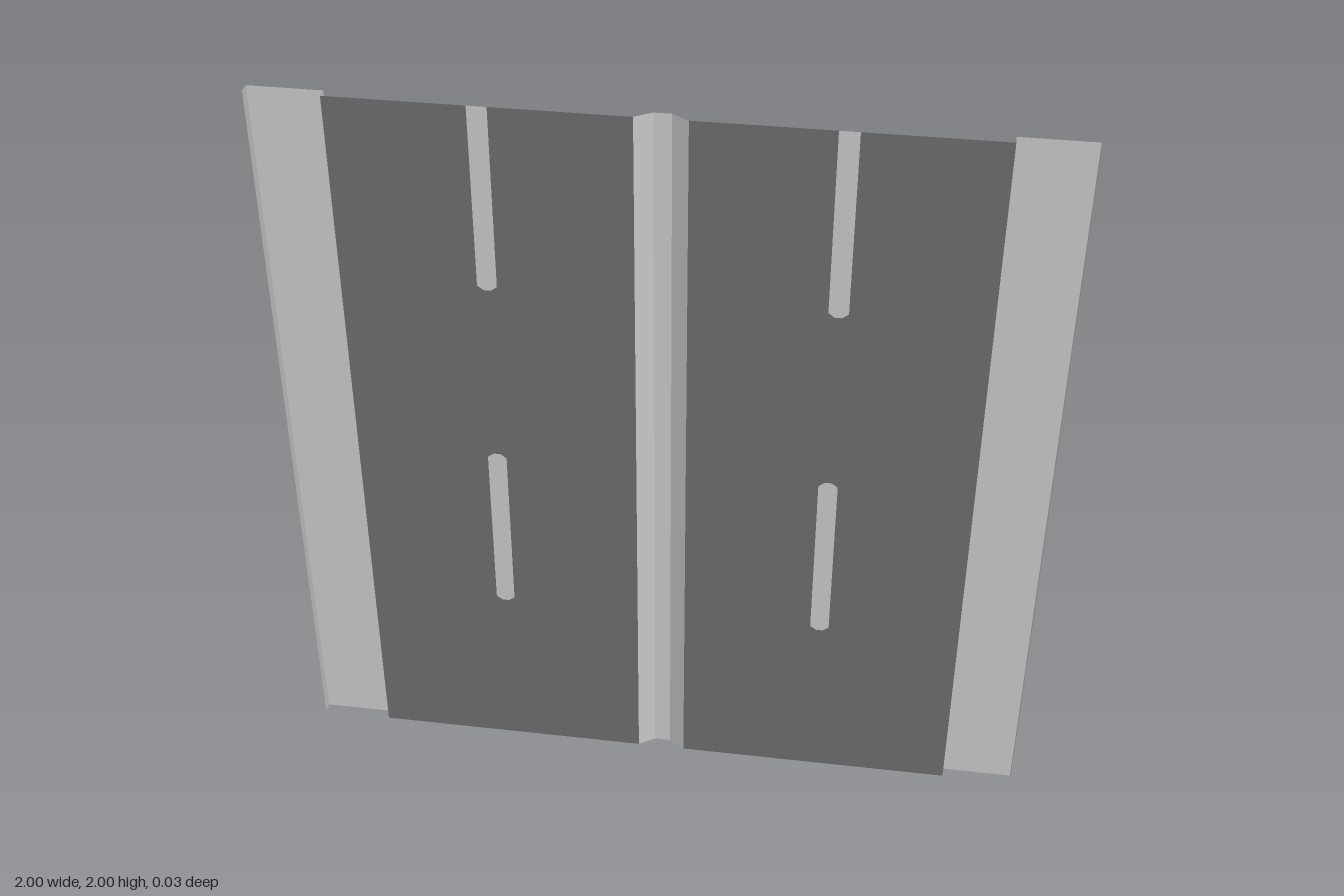
import * as THREE from 'three';

const H = 2;          // length of the road tile
const LOW = 0.0145;   // road level
const HIGH = -0.0145; // kerb and median level

const paving = new THREE.MeshStandardMaterial({ name: 'light grey paving', color: 0xc6c6c6, side: THREE.DoubleSide });
const asphalt = new THREE.MeshStandardMaterial({ name: 'dark grey asphalt', color: 0x6c6c6c, side: THREE.DoubleSide });

// Sweep an (x, z) profile up the full length as a faceted open sheet
function sheet(name, profile, material) {
  const pos = [];
  for (let i = 0; i < profile.length - 1; i++) {
    const [ax, az] = profile[i];
    const [bx, bz] = profile[i + 1];
    pos.push(ax, 0, az, bx, 0, bz, bx, H, bz);
    pos.push(ax, 0, az, bx, H, bz, ax, H, az);
  }
  const geo = new THREE.BufferGeometry();
  geo.setAttribute('position', new THREE.Float32BufferAttribute(pos, 3));
  geo.computeVertexNormals();
  const mesh = new THREE.Mesh(geo, material);
  mesh.name = name;
  return mesh;
}

// Flat face at road level
function flat(name, shape, material) {
  const mesh = new THREE.Mesh(new THREE.ShapeGeometry(shape), material);
  mesh.position.z = LOW;
  mesh.name = name;
  return mesh;
}

const points = (list, side) => list.map(([x, y]) => new THREE.Vector2(x * side, y));

export function createModel() {
  const model = new THREE.Group();
  model.name = 'dualCarriageway';

  // Lane dashes: one whole, one cut off by the tile end
  const l = 0.41, r = 0.46, c = 0.016, s = 0.012;
  const dash = [
    [l, 0.5 + s], [l + c, 0.5], [r - c, 0.5], [r, 0.5 + s],
    [r, 1 - s], [r - c, 1], [l + c, 1], [l, 1 - s],
  ];
  const endDash = [[r, H], [r, 1.5 + s], [r - c, 1.5], [l + c, 1.5], [l, 1.5 + s], [l, H]];

  for (const side of [-1, 1]) {
    const label = side > 0 ? 'left' : 'right';

    // Carriageway with openings filled by the dashes
    const road = new THREE.Shape(points([[0.065, 0], [0.81, 0], [0.81, H], ...endDash, [0.065, H]], side));
    road.holes.push(new THREE.Path(points(dash, side)));
    model.add(flat(label + 'Carriageway', road, asphalt));
    model.add(flat(label + 'LaneDash', new THREE.Shape(points(dash, side)), paving));
    model.add(flat(label + 'EndLaneDash', new THREE.Shape(points(endDash, side)), paving));

    // Sidewalk with kerb wall and folded outer edge
    const walk = [[0.81, LOW], [0.81, HIGH], [1, HIGH], [1, LOW]];
    model.add(sheet(label + 'Sidewalk', walk.map(([x, z]) => [x * side, z]), paving));
  }

  // Raised median with sloped sides
  model.add(sheet('median', [[-0.065, LOW], [-0.022, HIGH], [0.022, HIGH], [0.065, LOW]], paving));
  return model;
}
